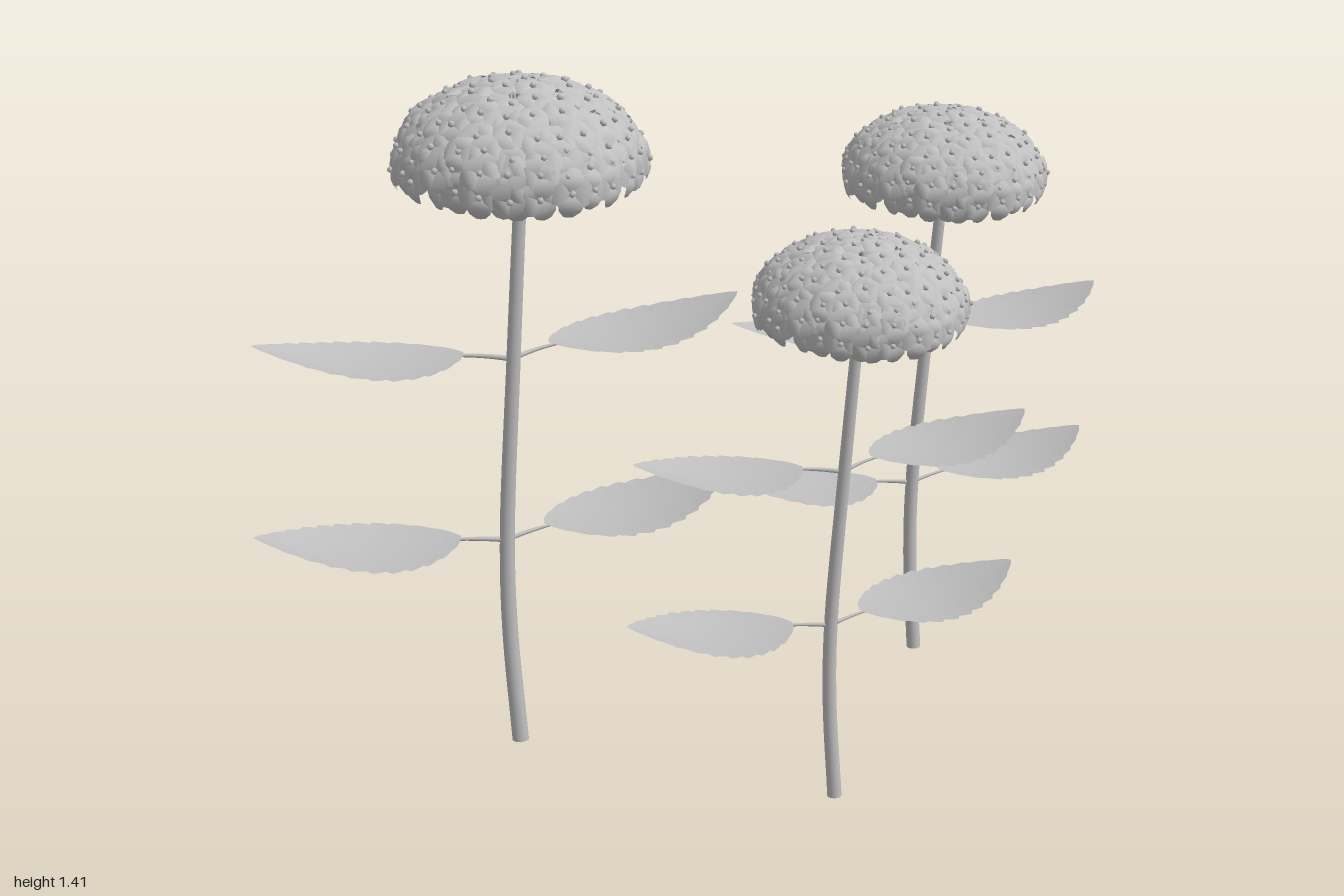
import * as THREE from 'three';
import { mergeGeometries } from 'three/addons/utils/BufferGeometryUtils.js';

const V = (x, y, z) => new THREE.Vector3(x, y, z);

// Small seeded random in -1..1
function makeRandom(seed) {
  let s = seed;
  return () => {
    s = (s * 16807) % 2147483647;
    return (s / 2147483647) * 2 - 1;
  };
}

// Bent sheet: u runs 0..1 along +x, v runs -1..1 across z
function sheet(nu, nv, rule) {
  const geo = new THREE.PlaneGeometry(1, 1, nu, nv).rotateX(-Math.PI / 2);
  const p = geo.attributes.position;
  for (let i = 0; i < p.count; i++) {
    const [x, y, z] = rule(p.getX(i) + 0.5, p.getZ(i) * 2);
    p.setXYZ(i, x, y, z);
  }
  geo.computeVertexNormals();
  return geo;
}

// Tube whose radius narrows from r0 to r1
function taperedTube(curve, r0, r1, segments, sides) {
  const geo = new THREE.TubeGeometry(curve, segments, 1, sides);
  const { position: p, uv } = geo.attributes;
  const v = new THREE.Vector3();
  for (let i = 0; i < p.count; i++) {
    const t = uv.getX(i);
    const c = curve.getPointAt(t);
    v.fromBufferAttribute(p, i).sub(c).multiplyScalar(r0 + (r1 - r0) * t).add(c);
    p.setXYZ(i, v.x, v.y, v.z);
  }
  return geo;
}

// Leaf blade with forward-pointing teeth, curling up towards the tip
function leafGeometry() {
  const teeth = 11, steps = 4;
  return sheet(teeth * steps, 6, (u, v) => {
    const saw = ((Math.round(u * teeth * steps) % steps) / (steps - 1)) - 0.5;
    const edge = Math.abs(v) > 0.99 ? saw * 0.014 * Math.sin(Math.PI * u) : 0;
    const half = 0.15 * Math.pow(Math.max(0, Math.sin(Math.PI * Math.pow(u, 0.85))), 0.8) + edge;
    const y = 0.015 - 0.016 * Math.sin(Math.PI * u) + 0.062 * Math.pow(u, 2.2)
      + 0.01 * v * v * Math.sin(Math.PI * u);
    return [0.09 + 0.42 * u + Math.abs(edge) * 0.5, y, half * v];
  });
}

// Four rounded petals that bend slightly down
function floretGeometry() {
  const petal = sheet(4, 2, (u, v) => {
    const half = 0.023 * Math.sin(Math.PI * (0.08 + 0.8 * u));
    return [0.042 * u, 0.002 + 0.006 * Math.sin(Math.PI * u * 0.9) - 0.01 * u * u - 0.003 * v * v, half * v];
  });
  return mergeGeometries([0, 1, 2, 3].map((k) => petal.clone().rotateY((k * Math.PI) / 2)));
}

// Domed flower head: petals, floret centres and the stalks below them
function headGeometries() {
  const random = makeRandom(77);
  const floret = floretGeometry();
  const button = new THREE.SphereGeometry(0.0065, 6, 4).translate(0, 0.006, 0);
  const petals = [], centres = [], stalks = [];
  const a = 0.242, b = 0.155, centreY = 0.04, rings = 7, spacing = 0.052;
  const up = V(0, 1, 0);
  for (let k = 0; k <= rings; k++) {
    const ringPhi = 1.52 * Math.pow(k / rings, 1.08);
    const count = Math.max(1, Math.round((2 * Math.PI * a * Math.sin(ringPhi)) / spacing));
    for (let j = 0; j < count; j++) {
      const phi = Math.max(0, ringPhi + random() * 0.05);
      const ang = ((j + random() * 0.2) / count) * 2 * Math.PI + k * 1.3;
      const lift = 1 + random() * 0.02;
      const dx = Math.sin(phi) * Math.cos(ang), dz = Math.sin(phi) * Math.sin(ang);
      const pos = V(a * dx * lift, centreY + b * Math.cos(phi) * lift, a * dz * lift);
      const normal = V(dx / a + random() * 0.7, Math.cos(phi) / b, dz / a + random() * 0.7).normalize();
      const turn = new THREE.Quaternion().setFromUnitVectors(up, normal)
        .multiply(new THREE.Quaternion().setFromAxisAngle(up, random() * Math.PI));
      const size = 1 + random() * 0.1;
      const m = new THREE.Matrix4().compose(pos, turn, V(size, size, size));
      petals.push(floret.clone().applyMatrix4(m));
      centres.push(button.clone().applyMatrix4(m));

      // Stalk from the stem top to the floret
      const len = pos.length();
      const aim = new THREE.Quaternion().setFromUnitVectors(up, pos.clone().normalize());
      stalks.push(new THREE.CylinderGeometry(0.0025, 0.004, len, 5, 1, true)
        .translate(0, len / 2, 0).applyQuaternion(aim));
    }
  }
  return {
    petals: mergeGeometries(petals),
    floretCentres: mergeGeometries(centres),
    floretStalks: mergeGeometries(stalks),
  };
}

export function createModel() {
  const model = new THREE.Group();
  model.name = 'flowerCluster';
  const grey = new THREE.MeshStandardMaterial({ color: 0xc0c0c0, side: THREE.DoubleSide });
  grey.name = 'plain grey';

  const add = (parent, name, geo) => {
    const mesh = new THREE.Mesh(geo, grey);
    mesh.name = name;
    parent.add(mesh);
    return mesh;
  };

  const stemTop = V(0.035, 1.205, 0.03);
  const stemCurve = new THREE.CatmullRomCurve3([
    V(0, 0, 0), V(-0.01, 0.25, -0.012), V(-0.008, 0.45, -0.013), V(0.015, 0.85, 0.006), stemTop,
  ]);
  const stemGeo = taperedTube(stemCurve, 0.018, 0.0135, 28, 10);
  const baseGeo = new THREE.CircleGeometry(0.018, 10).rotateX(Math.PI / 2);
  const leafGeo = leafGeometry();
  const headGeos = headGeometries();

  // Leaf pairs: height and centre on the stem
  const pairs = [V(-0.01, 0.45, -0.012), V(0.013, 0.84, 0.004)];
  const leafZ = -0.035;

  function flower(name, x, z, scale) {
    const plant = new THREE.Group();
    plant.name = name;
    plant.position.set(x, 0, z);
    plant.scale.setScalar(scale);
    add(plant, 'stem', stemGeo);
    add(plant, 'stemBase', baseGeo);

    for (const node of pairs) {
      for (const side of [1, -1]) {
        const leaf = add(plant, side > 0 ? 'leftLeaf' : 'rightLeaf', leafGeo);
        leaf.position.set(node.x, node.y, leafZ);
        leaf.rotation.y = side > 0 ? 0 : Math.PI;
        const petiole = new THREE.QuadraticBezierCurve3(
          node, V(node.x + side * 0.05, node.y + 0.008, leafZ * 0.7),
          V(node.x + side * 0.12, node.y + 0.011, leafZ));
        add(plant, 'petiole', taperedTube(petiole, 0.006, 0.003, 6, 6));
      }
    }

    // Head leans slightly forward on the stem
    const head = new THREE.Group();
    head.name = 'flowerHead';
    head.position.copy(stemTop);
    head.rotation.set(0.13, 0, 0.02);
    for (const part in headGeos) add(head, part, headGeos[part]);
    add(head, 'receptacle', new THREE.CylinderGeometry(0.02, 0.0135, 0.025, 10));
    plant.add(head);
    model.add(plant);
  }

  flower('tallFlower', -0.475, -0.238, 1);
  flower('middleFlower', 0.515, -0.32, 0.9);
  flower('shortFlower', 0.02, 0.267, 0.82);
  return model;
}
